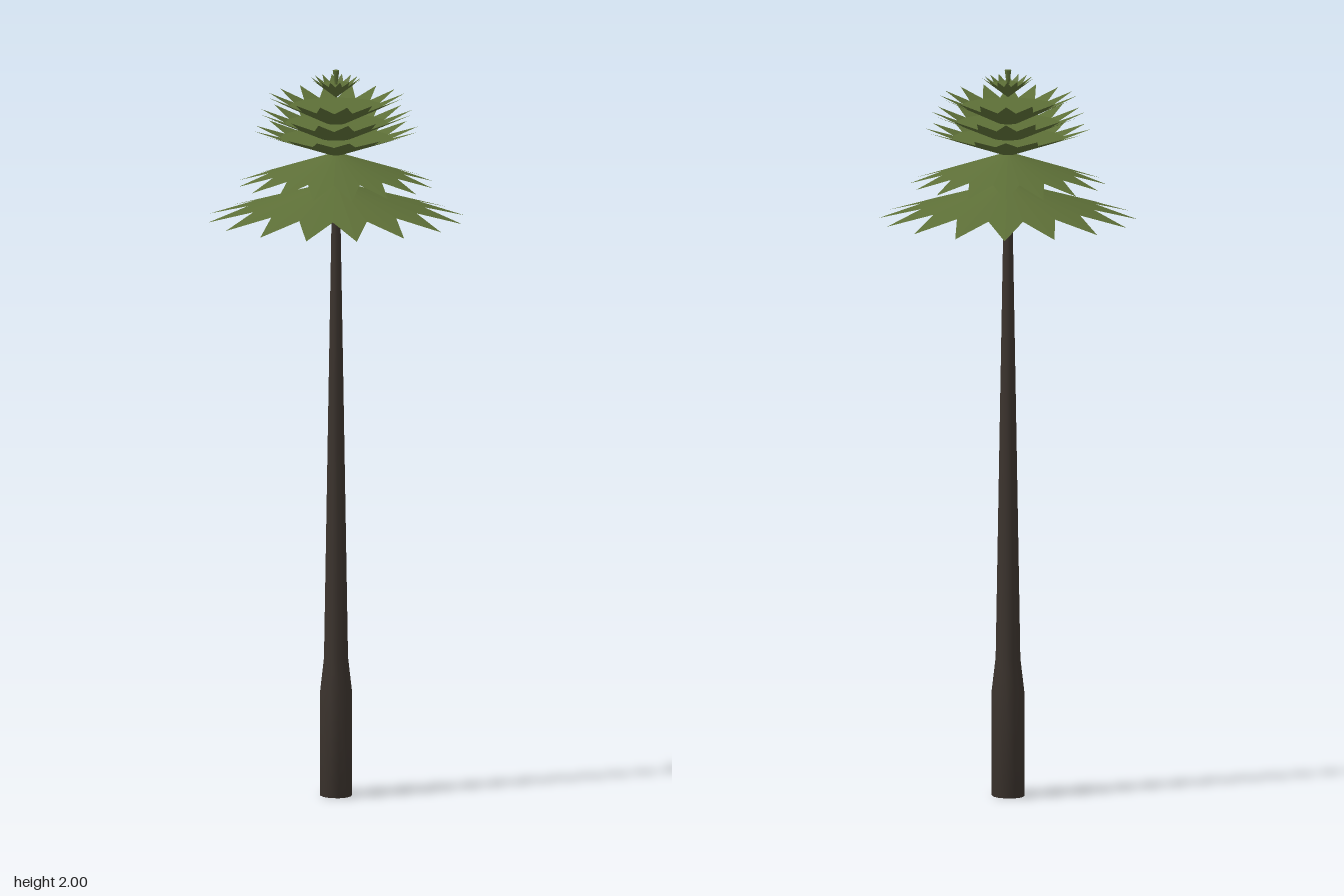
import * as THREE from 'three';

const POINTS = 16;

// Closed star-shaped cone: sloped leaves from the apex, with a flat cap across the valleys
function starTier(tipR, valleyR, yApex, yTip) {
  const yValley = yApex + (yTip - yApex) * (valleyR / tipR);
  const rim = (i) => {
    const a = (i * Math.PI) / POINTS;
    const r = i % 2 ? valleyR : tipR;
    return [Math.sin(a) * r, i % 2 ? yValley : yTip, Math.cos(a) * r];
  };
  const pos = [];
  const up = yApex > yTip;
  const face = (a, b, c) => pos.push(...a, ...(up ? b : c), ...(up ? c : b));
  for (let i = 0; i < POINTS * 2; i += 2) {
    const [before, tip, after] = [rim(i - 1), rim(i), rim(i + 1)];
    face([0, yApex, 0], before, tip);
    face([0, yApex, 0], tip, after);
    face([0, yValley, 0], after, before);
    face(before, after, tip);
  }
  const geo = new THREE.BufferGeometry();
  geo.setAttribute('position', new THREE.Float32BufferAttribute(pos, 3));
  geo.computeVertexNormals();
  return geo;
}

export function createModel() {
  const bark = new THREE.MeshStandardMaterial({ color: 0x3b332d });
  bark.name = 'bark';
  const leaf = new THREE.MeshStandardMaterial({ color: 0x5d6f37, flatShading: true });
  leaf.name = 'leafGreen';

  const tree = new THREE.Group();
  tree.name = 'palmTree';

  // Slightly oval trunk: straight foot, short shoulder, long taper into the crown
  const profile = [
    [0, 0], [0.05, 0], [0.05, 0.29], [0.038, 0.38], [0.024, 1.1], [0.014, 1.6], [0.013, 1.65], [0, 1.65],
  ].map(([r, y]) => new THREE.Vector2(r, y));
  const trunkGeo = new THREE.LatheGeometry(profile, 12);
  trunkGeo.scale(0.87, 1, 1);
  const trunk = new THREE.Mesh(trunkGeo, bark);
  trunk.name = 'trunk';
  tree.add(trunk);

  // Leaf tiers: tip radius, valley radius, apex height, tip height.
  // The two lowest droop, the rest open upwards.
  const tiers = [
    [0.352, 0.24, 1.695, 1.59],
    [0.268, 0.183, 1.775, 1.686],
    [0.225, 0.152, 1.762, 1.838],
    [0.208, 0.14, 1.795, 1.884],
    [0.187, 0.127, 1.842, 1.93],
    [0.07, 0.048, 1.925, 1.978],
  ];
  const crown = new THREE.Group();
  crown.name = 'crown';
  tiers.forEach((t, i) => {
    const tier = new THREE.Mesh(starTier(...t), leaf);
    tier.name = `leafTier${i + 1}`;
    crown.add(tier);
  });

  // Small bud opening upwards at the very top
  const bud = new THREE.Mesh(new THREE.CylinderGeometry(0.009, 0.003, 0.045, 10), leaf);
  bud.name = 'topBud';
  bud.position.y = 1.9775;
  crown.add(bud);

  tree.add(crown);
  return tree;
}
